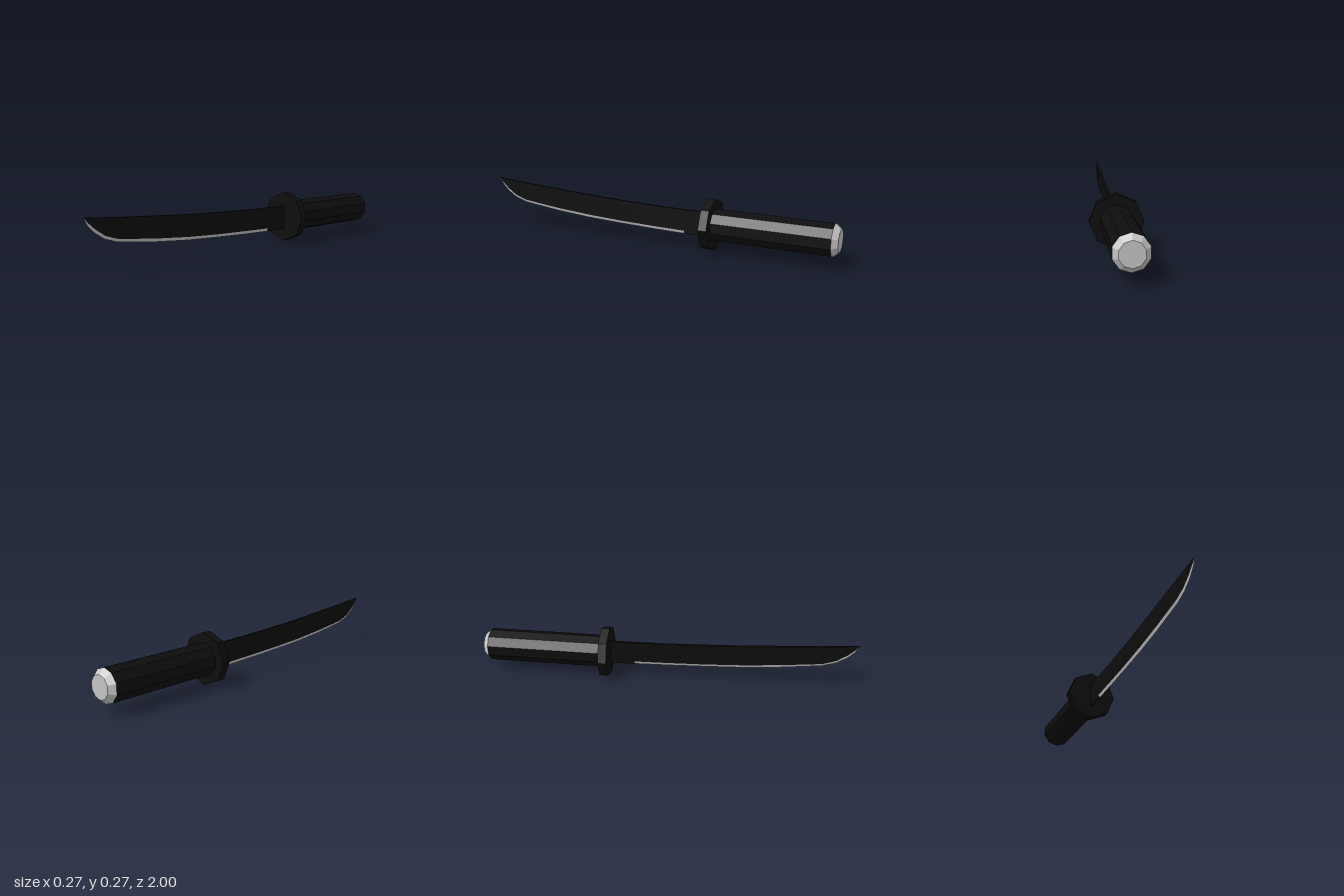
import * as THREE from 'three';

const black = new THREE.MeshStandardMaterial({ color: 0x0d0d0d });
black.name = 'black';
const steel = new THREE.MeshStandardMaterial({ color: 0xc4c4c4 });
steel.name = 'steel';
black.flatShading = steel.flatShading = true;

const AXIS_Y = 0.137;

// Faceted cylinder along z, with a corner at the top
function prism(name, rFront, rBack, zFront, zBack, sides, material) {
  const g = new THREE.CylinderGeometry(rFront, rBack, zFront - zBack, sides);
  g.rotateX(Math.PI / 2); // +y end now faces +z
  if (sides % 4) g.rotateZ(Math.PI); // put a corner at the top
  const mesh = new THREE.Mesh(g, material);
  mesh.name = name;
  mesh.position.set(0, AXIS_Y, (zFront + zBack) / 2);
  return mesh;
}

// Blade stations: z, spine y, bevel y, edge y, half thickness
const stations = [
  [-0.18, 0.2, 0.085, 0.068, 0.0065],
  [0, 0.203, 0.089, 0.072, 0.0065],
  [0.2, 0.21, 0.095, 0.079, 0.0065],
  [0.4, 0.219, 0.105, 0.088, 0.0065],
  [0.6, 0.232, 0.121, 0.104, 0.0065],
  [0.82, 0.246, 0.145, 0.13, 0.0065],
  [0.89, 0.252, 0.168, 0.152, 0.005],
  [0.945, 0.257, 0.205, 0.187, 0.004],
  [0.98, 0.26, 0.237, 0.222, 0.003],
  [1, 0.262, 0.261, 0.26, 0.001],
];

// Joins cross-sections (listed counter-clockwise seen from +z) into strips
function loft(name, section, closed, capBack, capFront, list, material) {
  const rings = list.map(section);
  const n = rings[0].length;
  const pos = [];
  const quad = (a, b, c, d) => pos.push(...a, ...b, ...c, ...a, ...c, ...d);
  for (let i = 0; i + 1 < rings.length; i++) {
    const p = rings[i], q = rings[i + 1];
    for (let j = 0; j < (closed ? n : n - 1); j++) {
      const k = (j + 1) % n;
      quad(p[j], p[k], q[k], q[j]);
    }
  }
  const last = rings[rings.length - 1];
  for (let j = 1; j + 1 < n; j++) {
    if (capBack) pos.push(...rings[0][0], ...rings[0][j + 1], ...rings[0][j]);
    if (capFront) pos.push(...last[0], ...last[j], ...last[j + 1]);
  }
  const g = new THREE.BufferGeometry();
  g.setAttribute('position', new THREE.Float32BufferAttribute(pos, 3));
  g.computeVertexNormals();
  const mesh = new THREE.Mesh(g, material);
  mesh.name = name;
  return mesh;
}

export function createModel() {
  const model = new THREE.Group();
  model.name = 'shortSword';

  // Grip, guard and pommel
  model.add(prism('grip', 0.086, 0.086, -0.355, -0.97, 10, black));
  model.add(prism('guard', AXIS_Y, AXIS_Y, -0.31, -0.355, 8, black));
  model.add(prism('pommel', 0.086, 0.06, -0.97, -1, 10, steel));

  // Blade
  const blade = new THREE.Group();
  blade.name = 'blade';
  const body = ([z, s, b, , w]) => [[w, b, z], [w, s, z], [-w, s, z], [-w, b, z]];
  const edge = ([z, , b, e, w]) => [[-w, b, z], [0, e, z], [w, b, z]];
  blade.add(loft('bladeBody', body, false, false, true, stations, black));
  blade.add(loft('cuttingEdge', edge, false, true, true, stations, steel));

  // Unsharpened base of the blade
  const base = [[-0.32, 0.2, 0.07, 0.07, 0.0065], [-0.18, 0.2, 0.07, 0.07, 0.0065]];
  blade.add(loft('bladeBase', body, true, true, true, base, black));
  model.add(blade);

  return model;
}
